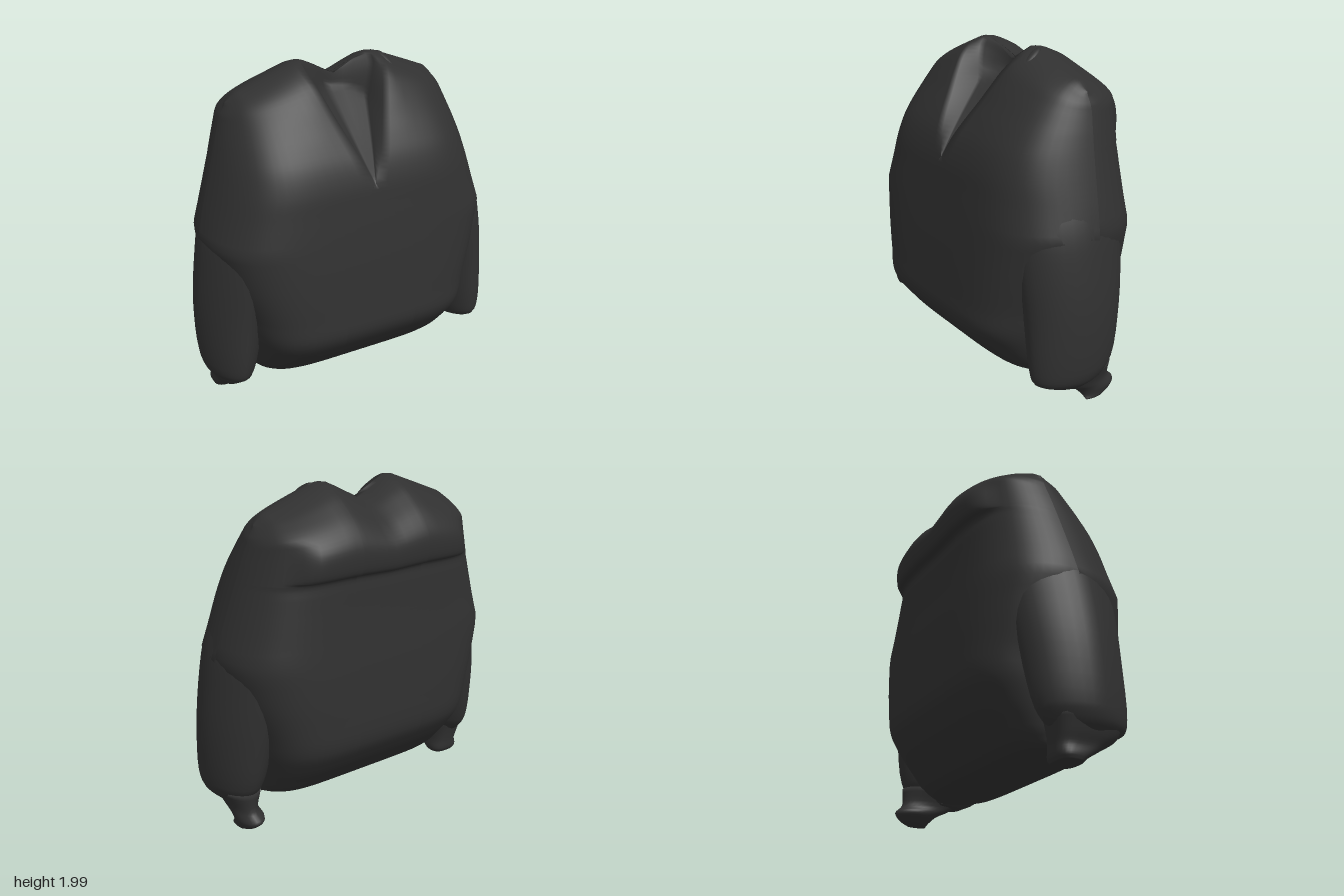
import * as THREE from 'three';

const black = new THREE.MeshStandardMaterial({ color: 0x303030 });
black.name = 'charcoal cloth';

// Linear lookup in a list of [key, value] pairs
function lookup(table, k) {
  if (k <= table[0][0]) return table[0][1];
  for (let i = 1; i < table.length; i++) {
    const [k0, v0] = table[i - 1], [k1, v1] = table[i];
    if (k <= k1) return v0 + (v1 - v0) * (k - k0) / (k1 - k0);
  }
  return table[table.length - 1][1];
}

// Side outline [z, y]: up the front, over the shoulders, down the back, under the hem
const outline = [
  [0, 0.11], [0.2, 0.12], [0.31, 0.2], [0.41, 0.31], [0.505, 0.45], [0.5, 0.6], [0.475, 0.85],
  [0.45, 1.05], [0.425, 1.22], [0.402, 1.36], [0.36, 1.49], [0.3, 1.6], [0.235, 1.7], [0.17, 1.8],
  [0.095, 1.9], [0.0, 1.97], [-0.1, 2.0],
  [-0.25, 1.95], [-0.34, 1.89], [-0.43, 1.81], [-0.495, 1.71], [-0.507, 1.62], [-0.49, 1.54],
  [-0.44, 1.515], [-0.44, 1.43], [-0.455, 1.2], [-0.475, 0.95], [-0.487, 0.7], [-0.48, 0.5],
  [-0.41, 0.38], [-0.32, 0.27], [-0.2, 0.15],
];
const ridgeIndex = 16, neckY = 1.36;
const halfWidth = [[0.11, 0.65], [0.3, 0.7], [0.6, 0.77], [0.8, 0.85], [1.05, 0.93], [1.2, 0.89],
  [1.4, 0.83], [1.6, 0.77], [1.74, 0.725], [1.8, 0.69]];
const ridge = [[0, 1.89], [0.1, 1.94], [0.19, 1.99], [0.26, 2], [0.38, 1.955], [0.5, 1.91],
  [0.63, 1.86], [0.7, 1.8]];
// Cross-section: boxy at the hem, bevelled towards the sides higher up
const roundness = [[0.6, 0.38], [1.2, 0.56]];
// Depth of the side seam
const seam = [[1, -0.03], [1.8, -0.11]];

function bodyGeometry() {
  const sub = 4, rows = outline.length * sub;
  const curve = new THREE.CatmullRomCurve3(outline.map(([z, y]) => new THREE.Vector3(0, y, z)), true, 'centripetal');
  // Columns: inside the neckline, then outwards to the side
  const half = [0, 0.3, 0.6, 0.85, 0.97, 1];
  for (let i = 1; i <= 18; i++) half.push(1 + Math.sin(i / 18 * Math.PI / 2));
  const cols = [...half.slice(1).reverse().map(c => -c), ...half];
  const pos = [], index = [];
  for (let r = 0; r < rows; r++) {
    const p = curve.getPoint(r / rows);
    const front = r < ridgeIndex * sub;
    const lift = Math.max(0, p.y - neckY), drop = (lift / 0.64) ** 2;
    const hw = lookup(halfWidth, p.y - 0.2 * drop), mid = lookup(seam, p.y);
    // Width of the V neck on this row
    let w = 0.24;
    if (front) w = lift > 0 ? Math.min(0.24, 0.004 + 0.24 * lift / 0.6) : 0.004 + 0.236 * Math.min(1, (neckY - p.y) / 0.4);
    for (const c of cols) {
      const a = Math.abs(c);
      const x = a <= 1 ? a * w : w + (hw - w) * (a - 1);
      const u = Math.min(1, x / hw);
      const swell = Math.max(0, 1 - u ** 5.5) ** lookup(roundness, p.y);
      const y = p.y - drop * (2 - lookup(ridge, x * 0.7 / Math.max(0.7, hw)));
      // The overhanging back yoke fades out before the shoulders
      const fade = THREE.MathUtils.smoothstep(u, 0.66, 0.84);
      const depthZ = p.y > 1.4 ? p.z + (Math.max(p.z, -0.44) - p.z) * fade : p.z;
      let z = mid + (depthZ - mid) * swell;
      // Sunken neck opening with a rounded back
      if (front && lift > 0 && a < 1) {
        const floor = Math.max(-0.14 + 0.08 * a ** 3, 0.4 - 1.2 * (y - neckY));
        const depth = Math.min(1, (1 - a) / 0.03) * (0.6 + 0.4 * (1 - a));
        z += Math.min(0, floor - z) * depth;
      }
      pos.push(Math.sign(c) * x, y + (p.y < 0.2 ? 0.02 * u ** 6 : 0), z);
    }
  }
  const n = cols.length;
  for (let r = 0; r < rows; r++) for (let c = 0; c < n - 1; c++) {
    const a = r * n + c, d = ((r + 1) % rows) * n + c;
    index.push(a, a + 1, d, a + 1, d + 1, d);
  }
  return finish(pos, index);
}

function finish(pos, index) {
  const g = new THREE.BufferGeometry();
  g.setAttribute('position', new THREE.Float32BufferAttribute(pos, 3));
  g.setIndex(index);
  g.computeVertexNormals();
  return g;
}

// Closed tube through rings [y, centre x, centre z, radius x, radius z], listed upwards
function loft(rings, side, power) {
  const n = 32, steps = (rings.length - 1) * 4, pos = [], index = [];
  const path = new THREE.CatmullRomCurve3(rings.map(r => new THREE.Vector3(r[0], r[1], r[2])));
  const size = new THREE.CatmullRomCurve3(rings.map(r => new THREE.Vector3(r[0], r[3], r[4])));
  const soft = v => Math.sign(v) * Math.abs(v) ** power;
  for (let s = 0; s <= steps; s++) {
    const p = path.getPoint(s / steps), q = size.getPoint(s / steps);
    for (let i = 0; i < n; i++) {
      const t = i / n * Math.PI * 2;
      pos.push(side * p.y + soft(Math.cos(t)) * q.y, p.x, p.z + soft(Math.sin(t)) * q.z);
    }
  }
  for (let s = 0; s < steps; s++) for (let i = 0; i < n; i++) {
    const a = s * n + i, b = s * n + (i + 1) % n;
    index.push(a, a + n, b, b, a + n, b + n);
  }
  // End caps
  const first = rings[0], last = rings[rings.length - 1], k = pos.length / 3;
  pos.push(side * first[1], first[0], first[2], side * last[1], last[0], last[2]);
  for (let i = 0; i < n; i++) {
    const j = (i + 1) % n;
    index.push(k, i, j, k + 1, steps * n + j, steps * n + i);
  }
  return finish(pos, index);
}

export function createModel() {
  const model = new THREE.Group();
  model.name = 'sweater';
  const add = (name, geometry) => {
    const mesh = new THREE.Mesh(geometry, black);
    mesh.name = name;
    model.add(mesh);
    return mesh;
  };
  add('body', bodyGeometry());

  // Sleeves, merging into the body; the left one hangs fuller and further forward
  for (const [name, side, shift, power] of [['left', 1, 0.025, 1.08], ['right', -1, 0, 1.18]]) {
    const sleeve = add(name + 'Sleeve', loft([
      [0.14, 0.82, 0.02, 0.08, 0.14], [0.2, 0.82, 0.04, 0.14, 0.24], [0.28, 0.815, 0.025, 0.17, 0.28],
      [0.6, 0.78, 0, 0.21, 0.315], [0.9, 0.73, -0.01, 0.225, 0.34], [1.1, 0.69, -0.02, 0.225, 0.34],
      [1.3, 0.62, -0.03, 0.215, 0.3], [1.5, 0.52, -0.04, 0.19, 0.2],
    ], side, power));
    sleeve.position.z = shift;
  }

  // Cuffs: one flat, one gathered to a slanted tip
  add('rightCuff', loft([
    [0.005, -0.8, -0.07, 0.09, 0.07], [0.03, -0.8, -0.065, 0.1, 0.09], [0.09, -0.8, -0.02, 0.095, 0.14],
    [0.15, -0.81, 0.02, 0.11, 0.19], [0.24, -0.82, 0.03, 0.13, 0.22],
  ], 1, 0.7));
  add('leftCuff', loft([
    [0.005, 0.86, -0.1, 0.015, 0.06], [0.03, 0.83, -0.13, 0.05, 0.1], [0.07, 0.81, -0.13, 0.08, 0.14],
    [0.13, 0.82, -0.05, 0.08, 0.17], [0.24, 0.82, 0, 0.13, 0.22],
  ], 1, 1));

  // Small fold beside the neckline
  const fold = add('collarFold', new THREE.SphereGeometry(1, 16, 12));
  fold.scale.set(0.03, 0.025, 0.09);
  fold.position.set(0.31, 1.94, -0.02);
  fold.rotation.set(0.6, 0.25, 0);
  return model;
}
